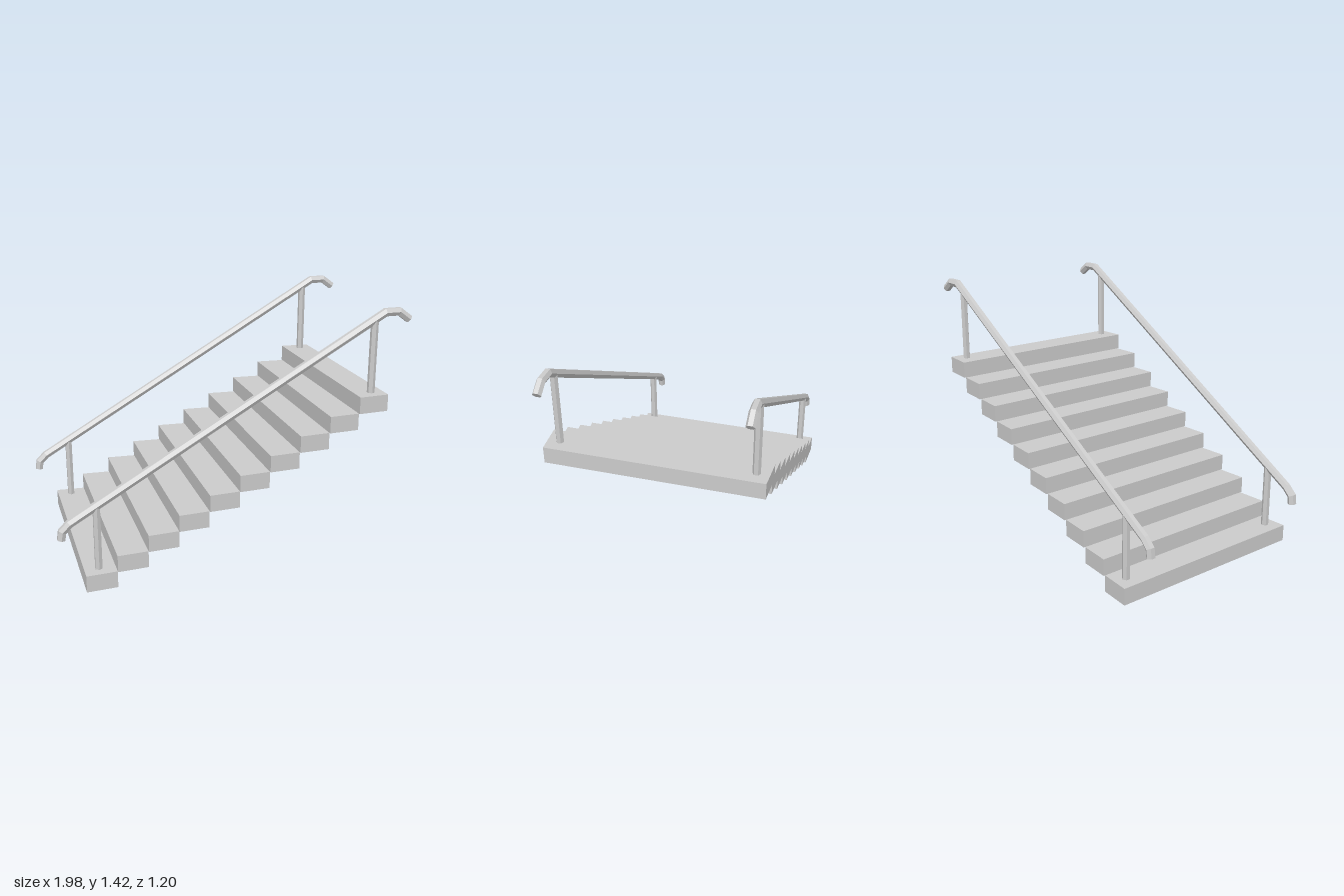
import * as THREE from 'three';

const material = new THREE.MeshStandardMaterial({ color: 0xcccccc, flatShading: true });

const STEPS = 10, RUN = 0.171, RISE = 0.095, LEFT_X = -0.865;
const RAIL_Z = 0.523, SIDES = 6;

// Centre line of the handrail in the xy plane, with curled ends
const RAIL_PATH = [
  [-0.977, 0.29], [-0.97, 0.338], [-0.929, 0.378],
  [0.832, 1.398], [0.913, 1.398], [0.974, 1.353],
].map(([x, y]) => new THREE.Vector2(x, y));

function addMesh(parent, name, geometry, x = 0, y = 0, z = 0) {
  const mesh = new THREE.Mesh(geometry, material);
  mesh.name = name;
  mesh.position.set(x, y, z);
  parent.add(mesh);
  return mesh;
}

// Closed hexagonal bar swept along a flat path with mitred bends
function sweptBar(path, radius) {
  const last = path.length - 1;
  const rings = path.map((p, i) => {
    const before = path[Math.max(i, 1)].clone().sub(path[Math.max(i, 1) - 1]).normalize();
    const k = Math.min(i, last - 1);
    const after = path[k + 1].clone().sub(path[k]).normalize();
    const t = before.clone().add(after).normalize();
    const stretch = 1 / t.dot(after);
    return Array.from({ length: SIDES }, (_, j) => {
      const a = (j / SIDES) * Math.PI * 2;
      const h = Math.sin(a) * radius * stretch;
      return [p.x - t.y * h, p.y + t.x * h, Math.cos(a) * radius];
    });
  });
  const positions = [];
  const tri = (a, b, c) => positions.push(...a, ...b, ...c);
  for (let i = 0; i < last; i++) {
    for (let j = 0; j < SIDES; j++) {
      const n = (j + 1) % SIDES;
      tri(rings[i][j], rings[i + 1][j], rings[i + 1][n]);
      tri(rings[i][j], rings[i + 1][n], rings[i][n]);
    }
  }
  // End caps
  for (let j = 1; j < SIDES - 1; j++) {
    tri(rings[0][0], rings[0][j], rings[0][j + 1]);
    tri(rings[last][0], rings[last][j + 1], rings[last][j]);
  }
  const geometry = new THREE.BufferGeometry();
  geometry.setAttribute('position', new THREE.Float32BufferAttribute(positions, 3));
  geometry.computeVertexNormals();
  return geometry;
}

// Step block, slightly narrower at its rear edge (+x)
function stepGeometry() {
  const geometry = new THREE.BoxGeometry(RUN, RISE, 2);
  const p = geometry.attributes.position;
  for (let i = 0; i < p.count; i++) {
    p.setZ(i, Math.sign(p.getZ(i)) * (p.getX(i) < 0 ? 0.598 : 0.588));
  }
  geometry.computeVertexNormals();
  return geometry;
}

export function createModel() {
  const model = new THREE.Group();
  model.name = 'staircase';

  // Flight of steps
  const flight = new THREE.Group();
  flight.name = 'steps';
  model.add(flight);
  const step = stepGeometry();
  for (let i = 0; i < STEPS; i++) {
    addMesh(flight, `step${i + 1}`, step, LEFT_X + (i + 0.5) * RUN, (i + 0.5) * RISE, 0);
  }

  // Handrail and two posts on each side
  const rail = sweptBar(RAIL_PATH, 0.024);
  const posts = [
    ['lowerPost', -0.785, RISE, 0.455],
    ['upperPost', 0.77, RISE * STEPS, 1.357],
  ];
  for (const side of [1, -1]) {
    const railing = new THREE.Group();
    railing.name = side > 0 ? 'frontRailing' : 'backRailing';
    railing.position.z = side * RAIL_Z;
    model.add(railing);
    addMesh(railing, 'handrail', rail);
    for (const [name, x, bottom, top] of posts) {
      const post = new THREE.CylinderGeometry(0.0215, 0.0215, top - bottom, SIDES);
      addMesh(railing, name, post, x, (top + bottom) / 2, 0);
    }
  }
  return model;
}
